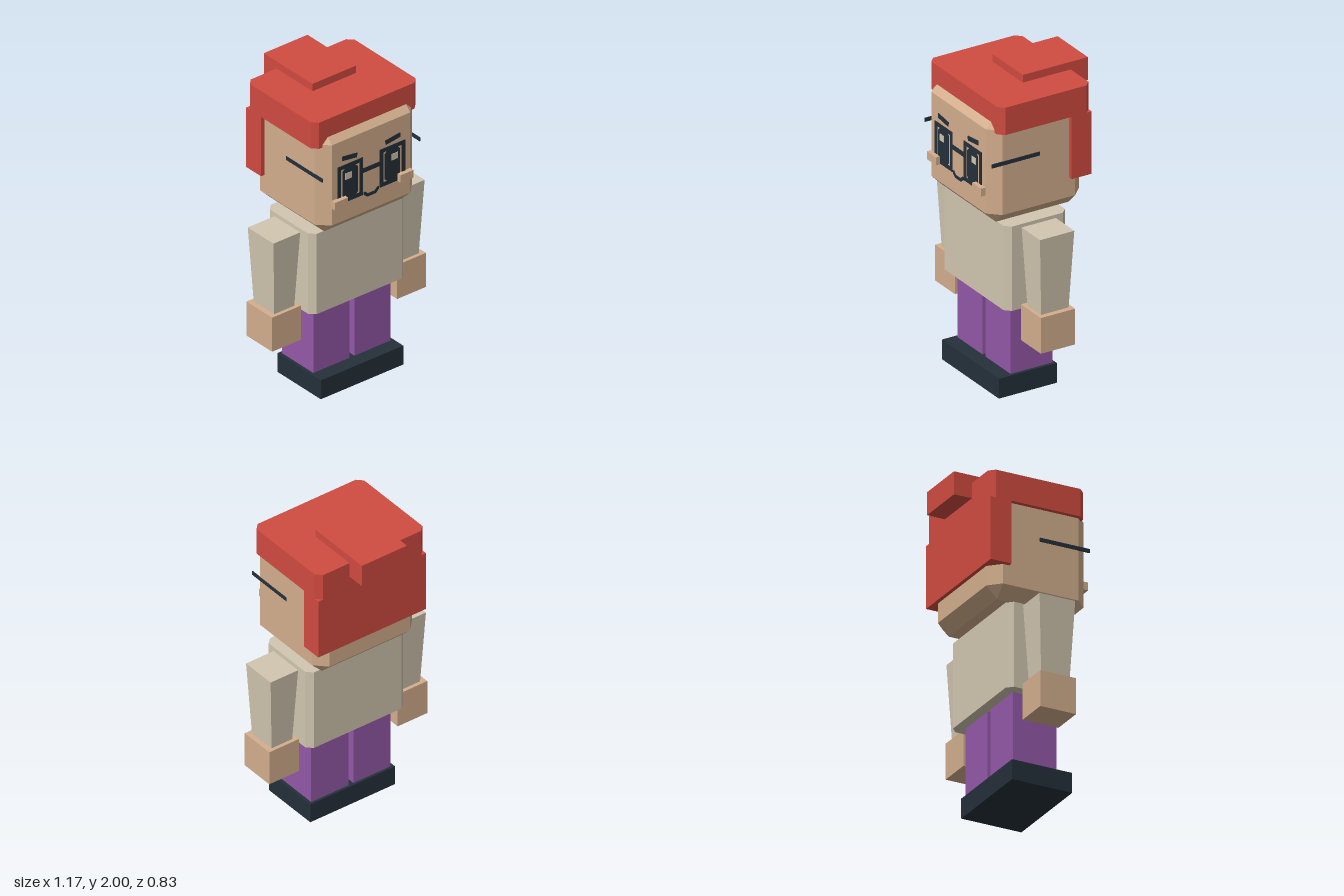
import * as THREE from 'three';
import { ConvexGeometry } from 'three/addons/geometries/ConvexGeometry.js';

const material = (name, color) => {
  const m = new THREE.MeshStandardMaterial({ color });
  m.name = name;
  return m;
};

export function createModel() {
  const skin = material('skin', 0xd3ae8d);
  const red = material('hairRed', 0xd04b40);
  const cream = material('shirtCream', 0xd1c6b0);
  const purple = material('trouserPurple', 0x9358a8);
  const dark = material('darkSlate', 0x24303a);

  const model = new THREE.Group();
  model.name = 'blockFigure';

  const add = (name, geometry, mat, parent = model) => {
    const mesh = new THREE.Mesh(geometry, mat);
    mesh.name = name;
    parent.add(mesh);
    return mesh;
  };

  // Box given by its limits on each axis
  const box = (name, mat, [x0, x1], [y0, y1], [z0, z1], parent) => {
    const g = new THREE.BoxGeometry(x1 - x0, y1 - y0, z1 - z0);
    g.translate((x0 + x1) / 2, (y0 + y1) / 2, (z0 + z1) / 2);
    return add(name, g, mat, parent);
  };
  // Mirrors an x range to the chosen side
  const side = (s, a, b) => (s > 0 ? [a, b] : [-b, -a]);

  // Rectangle outline with its four corners cut off
  const cutRect = (x0, x1, y0, y1, c) => new THREE.Shape([
    [x0 + c, y0], [x1 - c, y0], [x1, y0 + c], [x1, y1 - c],
    [x1 - c, y1], [x0 + c, y1], [x0, y1 - c], [x0, y0 + c],
  ].map(([x, y]) => new THREE.Vector2(x, y)));

  // Upright block with only its vertical edges chamfered
  const prism = (name, mat, w, [y0, y1], [z0, z1], c) => {
    const g = new THREE.ExtrudeGeometry(cutRect(-w, w, -z1, -z0, c),
      { depth: y1 - y0, bevelEnabled: false });
    g.rotateX(-Math.PI / 2).translate(0, y0, 0);
    return add(name, g, mat);
  };

  // Shoes, torso
  box('shoes', dark, [-0.315, 0.315], [0, 0.13], [-0.105, 0.3]);
  prism('torso', cream, 0.363, [0.58, 1.135], [-0.155, 0.275], 0.037);

  // Head: every edge chamfered
  const [hx, hy, hz, c] = [0.372, 0.35, 0.327, 0.073];
  const corners = [];
  for (const sx of [-1, 1]) for (const sy of [-1, 1]) for (const sz of [-1, 1]) {
    for (let k = 0; k < 3; k++) {
      corners.push(new THREE.Vector3(
        sx * (hx - (k === 0 ? 0 : c)),
        sy * (hy - (k === 1 ? 0 : c)),
        sz * (hz - (k === 2 ? 0 : c)),
      ));
    }
  }
  add('head', new ConvexGeometry(corners), skin).position.set(0, 1.51, 0.057);

  // Hair: cap, long back and top knot
  prism('hairCap', red, 0.4, [1.77, 1.95], [-0.295, 0.345], 0.036);
  box('hairBack', red, [-0.4, 0.4], [1.36, 1.77], [-0.295, -0.155]);
  box('topKnot', red, [-0.167, 0.167], [1.85, 2.0], [-0.415, 0.04]);

  // Thin face details lie just proud of the face
  const face = new THREE.Group();
  face.name = 'face';
  model.add(face);
  const faceZ = 0.384;
  const plate = (name, shape, mat, z = faceZ) => {
    const g = new THREE.ExtrudeGeometry(shape, { depth: 0.004, bevelEnabled: false });
    const mesh = add(name, g, mat, face);
    mesh.position.z = z;
    return mesh;
  };

  box('glassesBridge', dark, [-0.07, 0.07], [1.508, 1.538], [faceZ, faceZ + 0.004], face);

  const mouth = new THREE.Shape([
    [-0.06, 1.372], [-0.055, 1.352], [-0.033, 1.333], [0.033, 1.333], [0.055, 1.352],
    [0.06, 1.372], [0.045, 1.372], [0.026, 1.353], [-0.026, 1.353], [-0.045, 1.372],
  ].map(([x, y]) => new THREE.Vector2(x, y)));
  plate('mouth', mouth, dark);

  for (const s of [1, -1]) {
    const tag = s > 0 ? 'left' : 'right';

    // Legs
    box(`${tag}Leg`, purple, side(s, 0.018, 0.295), [0.13, 0.58], [-0.088, 0.206]);

    // Arm narrows towards the wrist
    const arm = new THREE.BoxGeometry(0.204, 0.51, 0.24);
    const p = arm.attributes.position;
    for (let i = 0; i < p.count; i++) {
      if (p.getY(i) < 0) p.setXYZ(i, p.getX(i) * 0.75, p.getY(i), p.getZ(i) * 0.8);
    }
    arm.computeVertexNormals();
    add(`${tag}Arm`, arm, cream).position.set(s * 0.475, 0.863, 0.058);
    box(`${tag}Hand`, skin, side(s, 0.367, 0.587), [0.375, 0.61], [-0.062, 0.178]);

    // Glasses rim with the eye inside it
    const [x0, x1] = side(s, 0.064, 0.258);
    const rim = cutRect(x0, x1, 1.357, 1.617, 0.001);
    const [i0, i1] = side(s, 0.09, 0.232);
    rim.holes.push(cutRect(i0, i1, 1.383, 1.591, 0.001));
    plate(`${tag}GlassesRim`, rim, dark);
    const [e0, e1] = side(s, 0.103, 0.219);
    plate(`${tag}Eye`, cutRect(e0, e1, 1.375, 1.597, 0.025), dark);
    const [g0, g1] = side(s, 0.153, 0.201);
    plate(`${tag}EyeGlint`, cutRect(g0, g1, 1.513, 1.556, 0.001), cream, faceZ + 0.003);

    // Glasses arm along the side of the head
    box(`${tag}GlassesArm`, dark, side(s, 0.37, 0.376), [1.56, 1.585], [0.05, 0.386], face);

    // Eyebrow, higher on the outside
    const brow = plate(`${tag}Eyebrow`, cutRect(-0.057, 0.057, -0.015, 0.015, 0.001), dark);
    brow.position.set(s * 0.165, 1.658, faceZ);
    brow.rotation.z = s * 0.13;

    // Cheek
    box(`${tag}Cheek`, skin, side(s, 0.2, 0.3), [1.352, 1.404], [0.37, 0.415], face);
  }

  return model;
}
